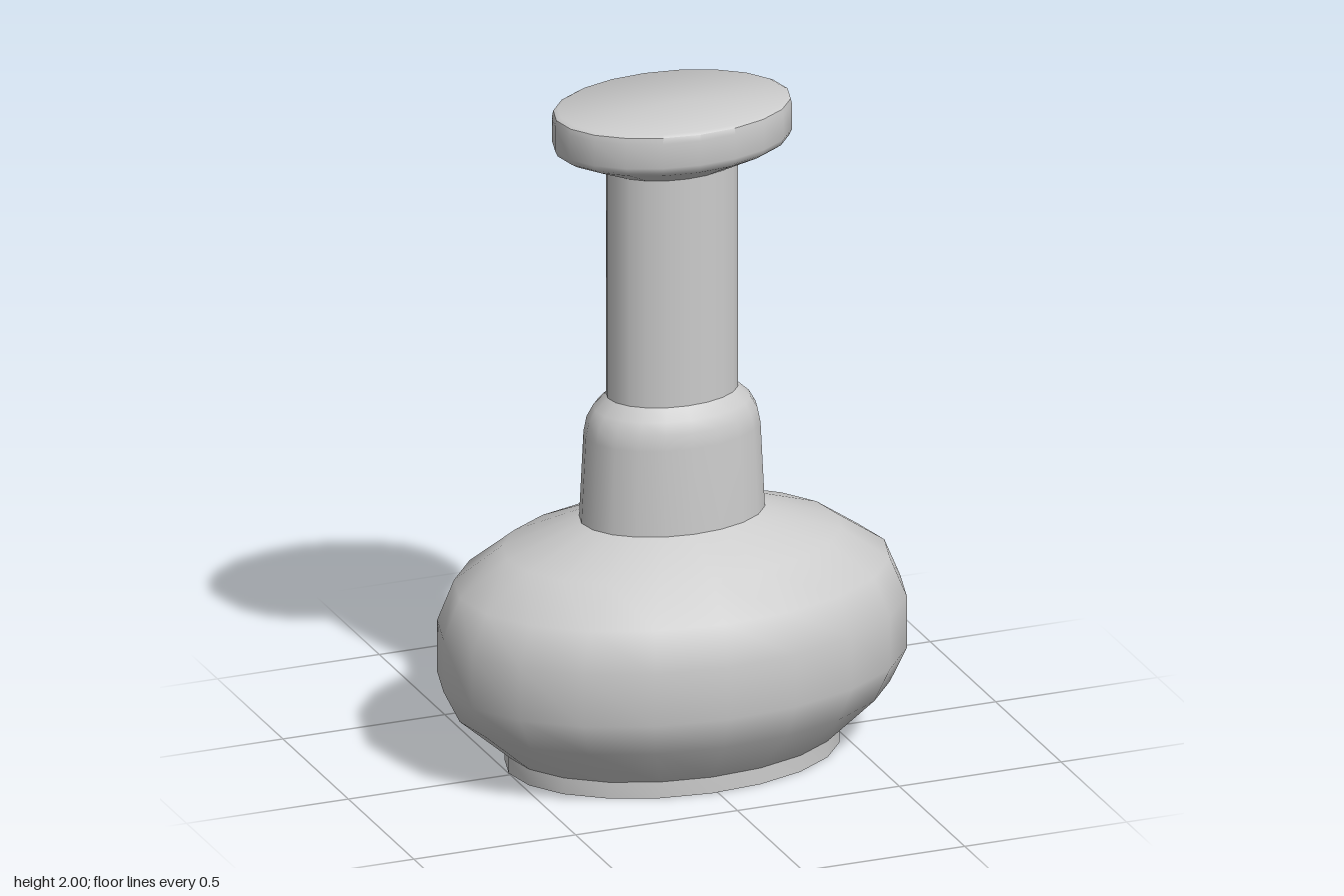
import * as THREE from 'three';
import { toCreasedNormals } from 'three/addons/utils/BufferGeometryUtils.js';

const SIDES = 20;
const DEPTH = 0.7; // every ring is an ellipse, narrower in z
const PHASE = -2 * Math.PI / 180;

export function createModel() {
  const group = new THREE.Group();
  group.name = 'flask';
  const material = new THREE.MeshStandardMaterial({ color: 0xcccccc });

  // Turns a [radius, height] profile into an oval part
  function oval(name, profile, crease) {
    const points = profile.map(([r, y]) => new THREE.Vector2(r, y));
    let geometry = new THREE.LatheGeometry(points, SIDES, PHASE);
    geometry.scale(1, 1, DEPTH);
    if (crease) geometry = toCreasedNormals(geometry, crease);
    const mesh = new THREE.Mesh(geometry, material);
    mesh.name = name;
    group.add(mesh);
  }

  // Flat foot with a closed underside
  oval('foot', [[0, 0], [0.5, 0], [0.5, 0.05]], 0.65);

  // Bulging belly
  oval('belly', [
    [0.5, 0.05], [0.65, 0.18], [0.7, 0.28], [0.7, 0.44],
    [0.65, 0.56], [0.505, 0.66], [0.277, 0.74],
  ]);

  // Collar with a rounded shoulder
  oval('collar', [
    [0.277, 0.74], [0.264, 1.0], [0.255, 1.045], [0.235, 1.08], [0.197, 1.115],
  ]);

  // Straight neck
  oval('neck', [[0.197, 1.115], [0.197, 1.815]]);

  // Flared cap with softened rims and a flat top
  oval('cap', [
    [0.197, 1.815], [0.33, 1.87], [0.35, 1.882], [0.358, 1.9],
    [0.358, 1.975], [0.354, 1.993], [0.34, 2], [0, 2],
  ], 0.8);

  return group;
}
